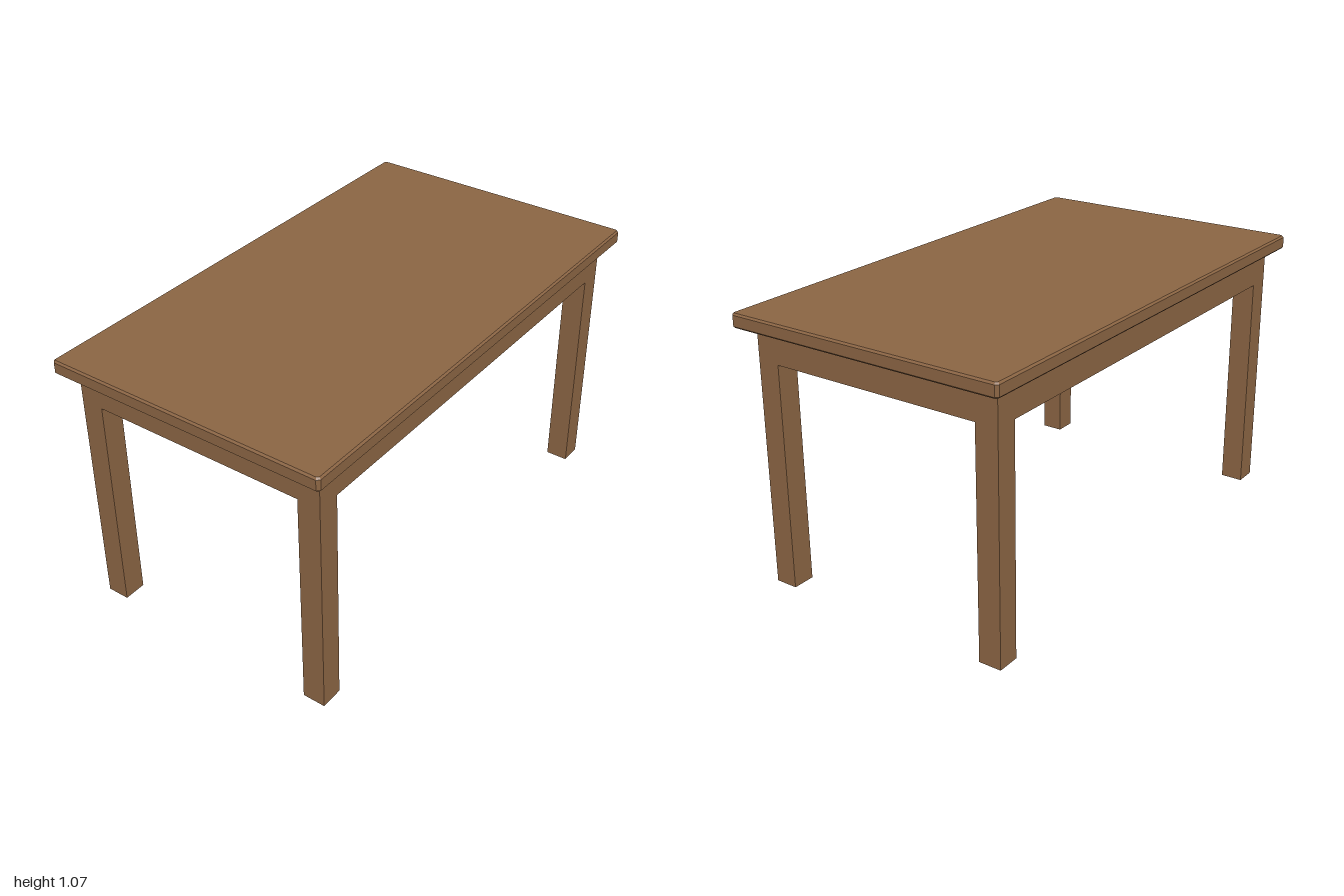
import * as THREE from 'three';

const wood = new THREE.MeshStandardMaterial({ color: 0x8a6443 });
wood.name = 'brown wood';

const LEG = 0.09, LEG_X = 0.885, LEG_Z = 0.474;
const TOP_X = 1, TOP_Z = 0.57, TOP_LOW = 1.017, TOP_HIGH = 1.072, BEVEL = 0.007;
const APRON_LOW = 0.887, APRON_HIGH = 1.007, APRON_THICK = 0.045;

function box(name, w, h, d, x, y, z) {
  const mesh = new THREE.Mesh(new THREE.BoxGeometry(w, h, d), wood);
  mesh.name = name;
  mesh.position.set(x, y, z);
  return mesh;
}

// Slab with a small chamfer on every edge
function tableTop() {
  const a = TOP_X - BEVEL, b = TOP_Z - BEVEL, c = BEVEL;
  const outline = new THREE.Shape([
    [a - c, -b], [a, -b + c], [a, b - c], [a - c, b],
    [-a + c, b], [-a, b - c], [-a, -b + c], [-a + c, -b],
  ].map(([x, y]) => new THREE.Vector2(x, y)));
  const geometry = new THREE.ExtrudeGeometry(outline, {
    depth: TOP_HIGH - TOP_LOW - 2 * BEVEL,
    bevelSize: BEVEL, bevelThickness: BEVEL, bevelSegments: 1,
  });
  geometry.rotateX(-Math.PI / 2);
  geometry.translate(0, TOP_LOW + BEVEL, 0);
  const mesh = new THREE.Mesh(geometry, wood);
  mesh.name = 'tableTop';
  return mesh;
}

export function createModel() {
  const table = new THREE.Group();
  table.name = 'table';
  table.add(tableTop());

  // Four square legs
  for (const [side, sx] of [['Left', 1], ['Right', -1]]) {
    for (const [end, sz] of [['front', 1], ['back', -1]]) {
      table.add(box(`${end}${side}Leg`, LEG, TOP_LOW, LEG, sx * LEG_X, TOP_LOW / 2, sz * LEG_Z));
    }
  }

  // Aprons between the legs, flush with their outer faces and just below the top
  const h = APRON_HIGH - APRON_LOW, y = (APRON_HIGH + APRON_LOW) / 2;
  const inset = (LEG - APRON_THICK) / 2;
  for (const [name, s] of [['front', 1], ['back', -1]]) {
    table.add(box(`${name}Apron`, 2 * LEG_X - LEG, h, APRON_THICK, 0, y, s * (LEG_Z + inset)));
  }
  for (const [name, s] of [['left', 1], ['right', -1]]) {
    table.add(box(`${name}Apron`, APRON_THICK, h, 2 * LEG_Z - LEG, s * (LEG_X + inset), y, 0));
  }
  return table;
}
